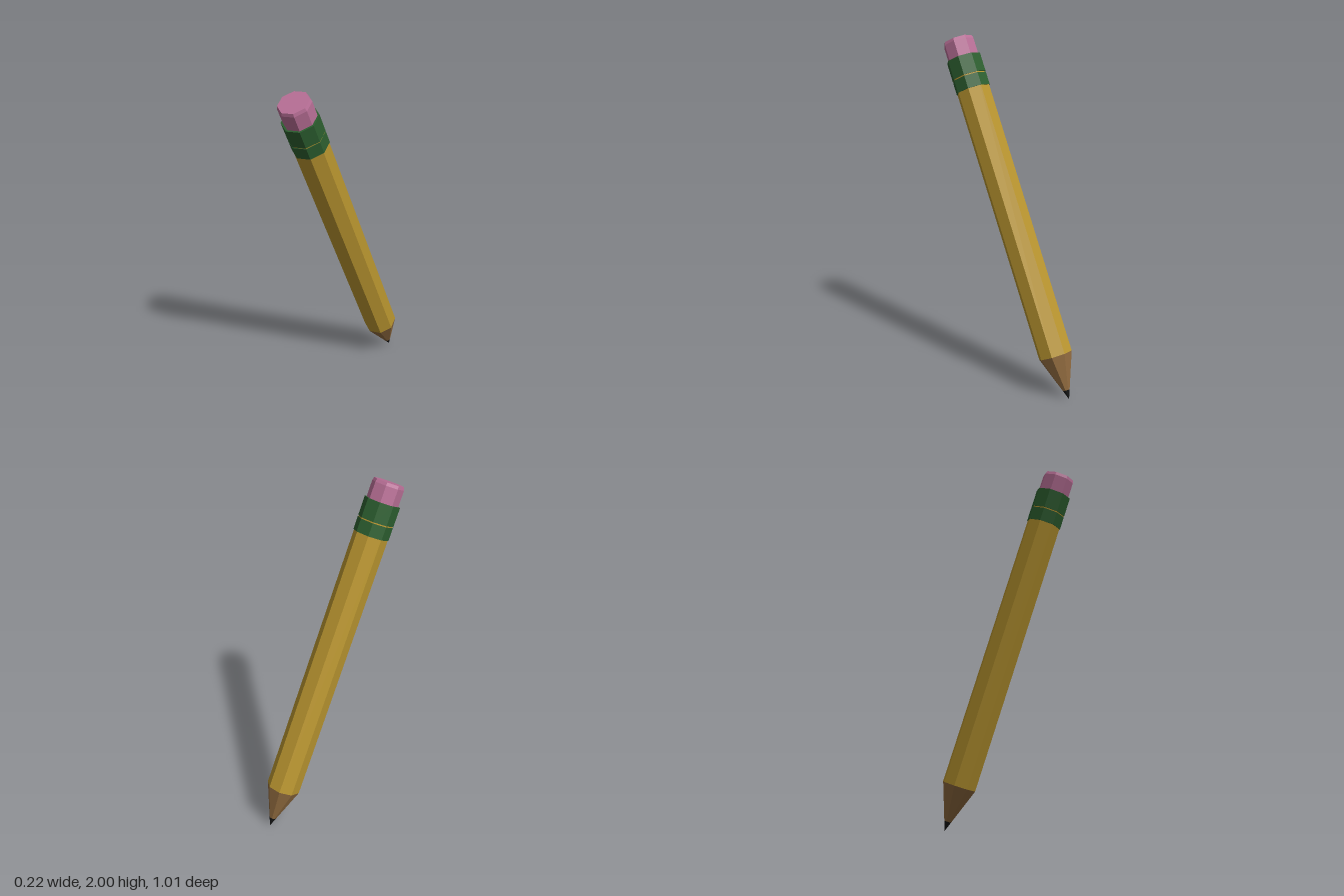
import * as THREE from 'three';

const SIDES = 8;
const TWIST = THREE.MathUtils.degToRad(-12.5);

// One flat-shaded octagonal section between two heights along the pencil
function section(name, y0, y1, r0, r1, color, open = false) {
  const geometry = new THREE.CylinderGeometry(r1, r0, y1 - y0, SIDES, 1, open, TWIST);
  geometry.translate(0, (y0 + y1) / 2, 0);
  const material = new THREE.MeshStandardMaterial({ color, flatShading: true });
  const mesh = new THREE.Mesh(geometry, material);
  mesh.name = name;
  return mesh;
}

export function createModel() {
  const model = new THREE.Group();
  model.name = 'pencil';

  const yellow = 0xb8942f, wood = 0x8f6a3f, lead = 0x151515;
  const green = 0x2c5e2f, pink = 0xb86f96;
  const bodyRadius = 0.1, ferruleRadius = 0.104;

  model.add(
    // Sharpened end
    section('leadTip', 0, 0.055, 0, 0.021, lead, true),
    section('sharpenedWood', 0.055, 0.264, 0.021, bodyRadius, wood, true),
    // Shaft, running up inside the ferrule
    section('shaft', 0.264, 2.0, bodyRadius, bodyRadius, yellow, true),
    // Two ferrule bands with a narrow gap between
    section('lowerFerruleBand', 1.869, 1.944, ferruleRadius, ferruleRadius, green),
    section('upperFerruleBand', 1.951, 2.063, ferruleRadius, ferruleRadius, green),
    // Eraser with a bevelled top
    section('eraser', 2.063, 2.158, 0.093, 0.093, pink, true),
    section('eraserTop', 2.158, 2.176, 0.093, 0.087, pink)
  );

  // Lean the pencil forward, standing on its tip
  const axis = new THREE.Vector3(-0.028, 1.966, 0.931).normalize();
  model.quaternion.setFromUnitVectors(new THREE.Vector3(0, 1, 0), axis);
  model.position.set(0.014, 0, -0.505);

  const root = new THREE.Group();
  root.name = 'leaningPencil';
  root.add(model);
  return root;
}
